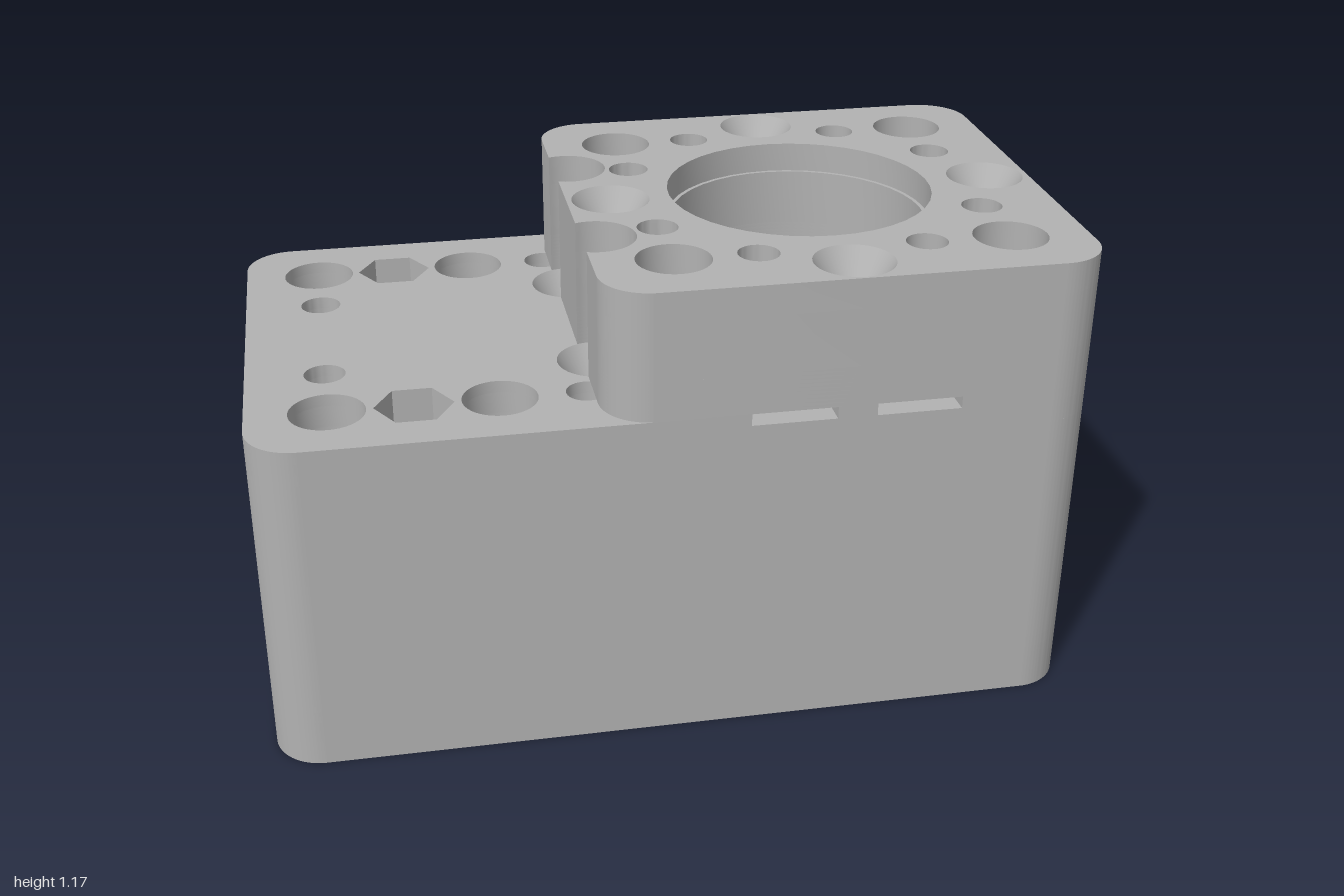
import * as THREE from 'three';
import { toCreasedNormals } from 'three/addons/utils/BufferGeometryUtils.js';

const HALF = 0.59, CORNER = 0.12;
const both = (x, z, r, sides) => [[x, z, r, sides], [x, -z, r, sides]];

// Rounded plan outline; front and back notches are [xMin, xMax, depth]
function outline(x0, { front = [], back = [], left } = {}) {
  const s = new THREE.Shape(), r = CORNER, h = HALF;
  s.moveTo(x0 + r, -h);
  for (const [a, b, d] of front) {
    s.lineTo(a, -h); s.lineTo(a, -h + d); s.lineTo(b, -h + d); s.lineTo(b, -h);
  }
  s.lineTo(1 - r, -h);
  s.absarc(1 - r, -h + r, r, -Math.PI / 2, 0, false);
  s.lineTo(1, h - r);
  s.absarc(1 - r, h - r, r, 0, Math.PI / 2, false);
  for (const [a, b, d] of back) {
    s.lineTo(b, h); s.lineTo(b, h - d); s.lineTo(a, h - d); s.lineTo(a, h);
  }
  s.lineTo(x0 + r, h);
  s.absarc(x0 + r, h - r, r, Math.PI / 2, Math.PI, false);
  if (left) left(s);
  s.lineTo(x0, -h + r);
  s.absarc(x0 + r, -h + r, r, Math.PI, Math.PI * 1.5, false);
  return s;
}

// Round hole, or polygonal one when sides is given
function hole([x, z, r, sides]) {
  const p = new THREE.Path();
  if (!sides) return p.absarc(x, -z, r, 0, Math.PI * 2, true);
  for (let i = 0; i < sides; i++) {
    const a = -i / sides * Math.PI * 2;
    const px = x + r * Math.cos(a), py = -z + r * Math.sin(a);
    if (i) p.lineTo(px, py); else p.moveTo(px, py);
  }
  p.closePath();
  return p;
}

export function createModel() {
  const group = new THREE.Group();
  const grey = new THREE.MeshStandardMaterial({ color: 0xb2b2b2, side: THREE.DoubleSide });
  grey.name = 'matte grey';

  const add = (name, geo) => {
    const mesh = new THREE.Mesh(geo, grey);
    mesh.name = name;
    group.add(mesh);
    return mesh;
  };
  const layer = (name, y0, y1, shape, holes) => {
    shape.holes = holes.map(hole);
    const geo = new THREE.ExtrudeGeometry(shape, { depth: y1 - y0, bevelEnabled: false, curveSegments: 20 });
    geo.rotateX(-Math.PI / 2).translate(0, y0, 0);
    add(name, toCreasedNormals(geo, 0.5));
  };
  const countersink = (x, z, y0, y1, r) => {
    const geo = new THREE.CylinderGeometry(r, 0.05, y1 - y0, 40, 1, true);
    add('countersink', geo).position.set(x, (y0 + y1) / 2, z);
  };

  // Vertical holes shared by several layers
  const rightPosts = [...both(0.81, 0.405, 0.09), ...both(0, 0.405, 0.09), ...both(0.81, 0.205, 0.05)];
  const leftPosts = [...both(-0.81, 0.405, 0.09), ...both(-0.41, 0.405, 0.09), ...both(-0.205, 0.405, 0.05)];
  const pins = [...both(0.2, 0.405, 0.05), ...both(0.605, 0.405, 0.05)];
  const rim = both(-0.81, 0.205, 0.05);

  // Floor with bolt-head holes and hexagonal nut pockets
  const floorHoles = [...rightPosts, ...leftPosts, ...rim, ...both(0.2, 0.405, 0.05),
    ...both(0.605, 0.405, 0.09), ...both(-0.61, 0.405, 0.09),
    ...both(-0.155, 0.238, 0.09, 6), [0.4, 0, 0.143]];
  layer('floor', 0, 0.12, outline(-1), floorHoles);
  layer('floorTop', 0.12, 0.15, outline(-1), [...floorHoles, [0.1, 0, 0.06]]);

  // Side walls around a channel open at the low end
  const w = 0.3;
  const channel = s => {
    s.lineTo(-1, w); s.lineTo(0.716, w); s.lineTo(0.716, -w); s.lineTo(-1, -w);
  };
  layer('channelWalls', 0.15, 0.77, outline(-1, { left: channel }),
    [...rightPosts, ...leftPosts, ...pins, ...both(-0.61, 0.405, 0.05)]);

  // Deck over the channel, with nut pockets and front slots
  const deckHoles = [...rightPosts, ...leftPosts, ...rim, ...both(-0.61, 0.405, 0.094, 6),
    ...both(-0.155, 0.238, 0.098), ...both(0, 0.205, 0.05), [-0.08, 0, 0.05], [0.4, 0, 0.322]];
  layer('deck', 0.77, 0.825, outline(-1), [...deckHoles, ...pins]);
  const slots = [[0.15, 0.355, 0.24], [0.45, 0.655, 0.24]];
  layer('slottedDeck', 0.825, 0.855, outline(-1, { front: slots }),
    [...deckHoles, [0.2, -0.405, 0.05], [0.605, -0.405, 0.05]]);
  for (const z of [-0.238, 0.238]) countersink(-0.155, z, 0.77, 0.855, 0.098);

  // Raised block with two round screw-access notches in its step face
  const nr = 0.098, dx = 0.035, a = Math.acos(-dx / nr);
  const access = s => {
    for (const y of [0.238, -0.238]) {
      s.lineTo(-0.19, y + nr * Math.sin(a));
      s.absarc(-0.155, y, nr, a, -a, true);
    }
  };
  const sinks = [...both(0.405, 0.487, 0.097), [0.89, 0, 0.097], [-0.08, 0, 0.097]];
  const blockHoles = [...rightPosts, ...pins, ...both(0, 0.205, 0.05)];
  const lower = [...blockHoles, ...sinks.map(([x, z]) => [x, z, 0.05]), [0.4, 0, 0.322]];

  // Thin slices shape the two round set-screw holes in the back wall
  const n = 10, y0 = 0.855, step = 0.1 / n;
  for (let i = 0; i < n; i++) {
    const t = (i + 0.5) / n * 2 - 1, half = 0.045 * Math.sqrt(1 - t * t);
    const back = [0.545, 0.245].map(x => [x - half, x + half, 0.125]);
    layer('setScrewHoles', y0 + i * step, y0 + (i + 1) * step, outline(-0.19, { back, left: access }), lower);
  }
  layer('raisedBlock', 0.955, 1.1, outline(-0.19, { left: access }), lower);
  layer('raisedBlockTop', 1.1, 1.175, outline(-0.19, { left: access }), [...blockHoles, ...sinks, [0.4, 0, 0.332]]);
  for (const [x, z, r] of sinks) countersink(x, z, 1.1, 1.175, r);

  return group;
}
